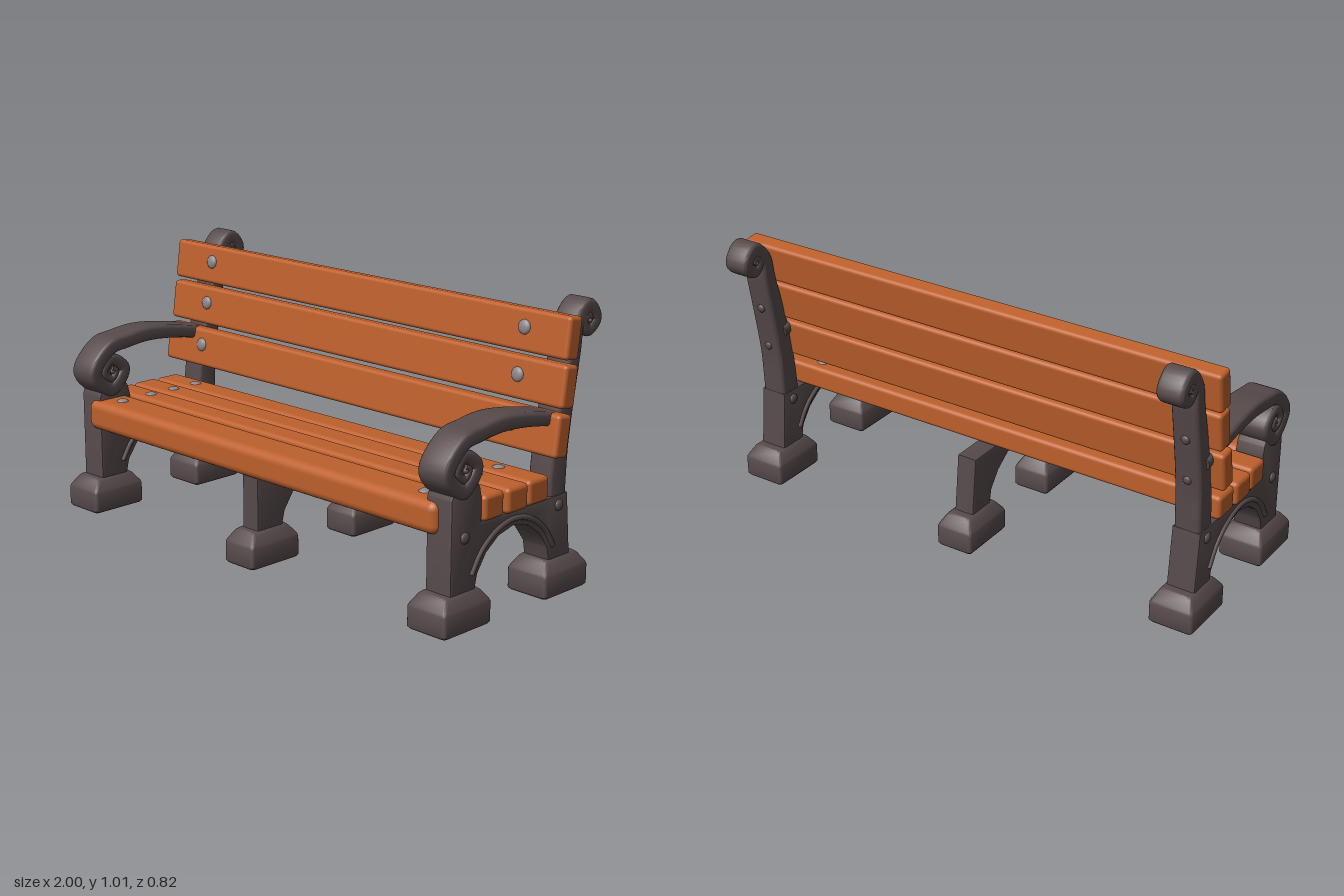
import * as THREE from 'three';
import { toCreasedNormals } from 'three/addons/utils/BufferGeometryUtils.js';
import { RoundedBoxGeometry } from 'three/addons/geometries/RoundedBoxGeometry.js';

const wood = new THREE.MeshStandardMaterial({ color: 0xbd602c });
const iron = new THREE.MeshStandardMaterial({ color: 0x574a4b });
const steel = new THREE.MeshStandardMaterial({ color: 0x8a8589 });
wood.name = 'orange wood';
iron.name = 'dark iron';
steel.name = 'grey steel';

function add(parent, name, geometry, material, x = 0, y = 0, z = 0) {
  const mesh = new THREE.Mesh(geometry, material);
  mesh.name = name;
  mesh.position.set(x, y, z);
  parent.add(mesh);
  return mesh;
}

// Sweeps a rounded rectangle through stations [z, y, half thickness, half width]
function sweep(stations, radius) {
  const pos = [], index = [], n = 16;
  stations.forEach(([z, y, h, w], i) => {
    const a = stations[Math.max(i - 1, 0)], b = stations[Math.min(i + 1, stations.length - 1)];
    const len = Math.hypot(b[0] - a[0], b[1] - a[1]);
    const tz = (b[0] - a[0]) / len, ty = (b[1] - a[1]) / len;
    const r = Math.min(radius, h * 0.8, w * 0.8);
    for (let j = 0; j < n; j++) {
      const corner = Math.floor(j / 4);
      const angle = (corner + (j % 4) / 3) * Math.PI / 2;
      const sx = corner === 0 || corner === 3 ? 1 : -1, sn = corner < 2 ? 1 : -1;
      const u = sx * (w - r) + r * Math.cos(angle);
      const v = sn * (h - r) + r * Math.sin(angle);
      pos.push(u, y + v * tz, z - v * ty);
    }
  });
  const last = (stations.length - 1) * n;
  for (let i = 0; i < last; i += n) {
    for (let j = 0; j < n; j++) {
      const k = (j + 1) % n;
      index.push(i + j, i + k, i + n + k, i + j, i + n + k, i + n + j);
    }
  }
  for (let j = 1; j < n - 1; j++) {
    index.push(0, j + 1, j, last, last + j, last + j + 1);
  }
  const g = new THREE.BufferGeometry();
  g.setAttribute('position', new THREE.Float32BufferAttribute(pos, 3));
  g.setIndex(index);
  return toCreasedNormals(g, 0.65);
}

// Smooth stations from control points [z, y, half thickness]
function smooth(points, count, width) {
  const curve = new THREE.CatmullRomCurve3(points.map(p => new THREE.Vector3(...p)));
  return curve.getPoints(count).map(p => [p.x, p.y, p.z, width]);
}

// Quarter-turn scroll points from [radius, half thickness]; start angle 0 faces front
function scroll(cz, cy, start, turn, rings) {
  return rings.map(([r, h], i) => {
    const a = start + turn * i * Math.PI / 2;
    return [cz + r * Math.cos(a), cy + r * Math.sin(a), h];
  });
}

// Extrudes a (z, y) outline across x, centred
function plate(outline, width) {
  const bevel = 0.008;
  const g = new THREE.ExtrudeGeometry(new THREE.Shape(outline.map(p => new THREE.Vector2(...p))), {
    depth: width - 2 * bevel, bevelThickness: bevel, bevelSize: bevel, bevelOffset: -bevel, bevelSegments: 2,
  });
  g.translate(0, 0, bevel - width / 2).rotateY(-Math.PI / 2);
  return toCreasedNormals(g, 0.5);
}

const arch = [[-0.155, 0.1], [-0.14, 0.175], [-0.095, 0.235], [-0.035, 0.278], [0.04, 0.296],
  [0.115, 0.278], [0.175, 0.235], [0.217, 0.175], [0.235, 0.1]];

function addFeet(parent, halfWidth) {
  for (const z of [0.295, -0.215]) {
    const d = 0.116, w = halfWidth;
    add(parent, 'foot', sweep([[z, 0, d - 0.006, w - 0.006], [z, 0.008, d, w], [z, 0.078, d, w],
      [z, 0.088, d - 0.004, w - 0.004], [z, 0.12, d - 0.028, w - 0.022],
      [z, 0.127, d - 0.036, w - 0.03]], 0.012), iron);
  }
}

function endFrame() {
  const g = new THREE.Group();
  g.name = 'endFrame';
  addFeet(g, 0.085);
  // Legs and arched rail
  add(g, 'legs', plate([...arch, [0.352, 0.1], [0.352, 0.45], [0.33, 0.5], [0.23, 0.5], [0.212, 0.47],
    [0.203, 0.43], [0.203, 0.35], [-0.15, 0.35], [-0.243, 0.35], [-0.267, 0.1]], 0.11), iron);
  // Back post rolling over into a scroll
  const post = [[-0.195, 0.3, 0.045], [-0.199, 0.4, 0.045], [-0.207, 0.5, 0.042], [-0.222, 0.6, 0.04],
    [-0.246, 0.72, 0.036], [-0.272, 0.84, 0.031],
    ...scroll(-0.342, 0.93, 0, 1, [[0.053, 0.028], [0.05, 0.027], [0.043, 0.025], [0.035, 0.022],
      [0.026, 0.018], [0.018, 0.014], [0.008, 0.01]])];
  add(g, 'backPost', sweep(smooth(post, 72, 0.05), 0.014), iron);
  // Armrest rolling down into a scroll
  const arm = [[-0.22, 0.608, 0.022], [-0.13, 0.628, 0.024], [0, 0.65, 0.026], [0.11, 0.658, 0.028],
    [0.21, 0.648, 0.028],
    ...scroll(0.29, 0.54, Math.PI / 2, -1, [[0.092, 0.028], [0.078, 0.028], [0.071, 0.027], [0.064, 0.025],
      [0.048, 0.021], [0.036, 0.016], [0.028, 0.013], [0.021, 0.011], [0.013, 0.009]])];
  // Quarter turns run front, down, back, up
  const armPath = smooth(arm, 96, 0.061);
  add(g, 'armrest', sweep(armPath, 0.014), iron);
  const disc = new THREE.CylinderGeometry(1, 1, 1, 24).rotateZ(Math.PI / 2);
  add(g, 'armScrollCore', disc, iron, 0, 0.54, 0.29).scale.set(0.1, 0.07, 0.07);
  add(g, 'postScrollCore', disc, iron, 0, 0.93, -0.342).scale.set(0.085, 0.045, 0.045);
  const ball = new THREE.SphereGeometry(1, 14, 10);
  add(g, 'armScrollEye', ball, iron, 0, 0.54, 0.285).scale.set(0.064, 0.02, 0.02);
  add(g, 'postScrollEye', ball, iron, 0, 0.93, -0.342).scale.set(0.056, 0.016, 0.016);
  // Raised arch moulding and round bolt heads on both faces
  for (const s of [-1, 1]) {
    const ridge = [[0.252, 0.177], [0.205, 0.248], [0.13, 0.302], [0.042, 0.322], [-0.046, 0.302],
      [-0.121, 0.248], [-0.168, 0.177]].map(p => new THREE.Vector3(s * 0.055, p[1], p[0]));
    add(g, 'archMoulding', new THREE.TubeGeometry(new THREE.CatmullRomCurve3(ridge), 24, 0.01, 8), iron);
    for (const z of [0.288, -0.195]) {
      add(g, 'frameBolt', ball, iron, s * 0.055, 0.314, z).scale.set(0.012, 0.02, 0.02);
    }
  }
  // Small bolts down the rear of the post
  for (const [y, z] of [[0.87, -0.306], [0.715, -0.28], [0.55, -0.252]]) {
    add(g, 'postBolt', ball, iron, 0, y, z).scale.set(0.017, 0.017, 0.012);
  }
  return g;
}

function middleSupport() {
  const g = new THREE.Group();
  g.name = 'middleSupport';
  addFeet(g, 0.074);
  add(g, 'middleLegs', plate([...arch, [0.352, 0.1], [0.352, 0.345], [-0.243, 0.345], [-0.267, 0.1]], 0.08), iron);
  return g;
}

export function createModel() {
  const model = new THREE.Group();
  model.name = 'bench';
  for (const s of [-1, 1]) {
    const frame = endFrame();
    frame.position.x = s * 0.895;
    model.add(frame);
  }
  model.add(middleSupport());

  const rivet = new THREE.SphereGeometry(1, 14, 10);
  // Seat slats: [z, depth, height, centre y, length, corner radius]
  for (const [z, d, h, y, len, r] of [[0.292, 0.163, 0.115, 0.378, 1.79, 0.032], [0.151, 0.1, 0.09, 0.392, 1.92, 0.016],
    [0.037, 0.106, 0.09, 0.392, 1.93, 0.016], [-0.077, 0.106, 0.09, 0.392, 1.92, 0.016]]) {
    add(model, 'seatSlat', new RoundedBoxGeometry(len, h, d, 3, r), wood, 0, y, z);
    for (const s of [-1, 1]) {
      add(model, 'seatRivet', rivet, steel, s * 0.78, 0.434, z).scale.set(0.023, 0.011, 0.023);
    }
  }
  // Leaning back slats: [y, z, length, x shift]
  for (const [y, z, len, x] of [[0.571, -0.153, 1.99, 0], [0.735, -0.184, 1.985, 0], [0.894, -0.214, 1.98, -0.01]]) {
    const slat = new THREE.Group();
    slat.name = 'backSlat';
    slat.position.set(0, y, z);
    slat.rotation.x = -0.14;
    add(slat, 'backBoard', new RoundedBoxGeometry(len, 0.148, 0.068, 3, 0.014), wood, x);
    for (const s of [-1, 1]) {
      add(slat, 'backRivet', rivet, steel, s * 0.79, 0.01, 0.033).scale.set(0.026, 0.026, 0.013);
    }
    model.add(slat);
  }
  return model;
}
